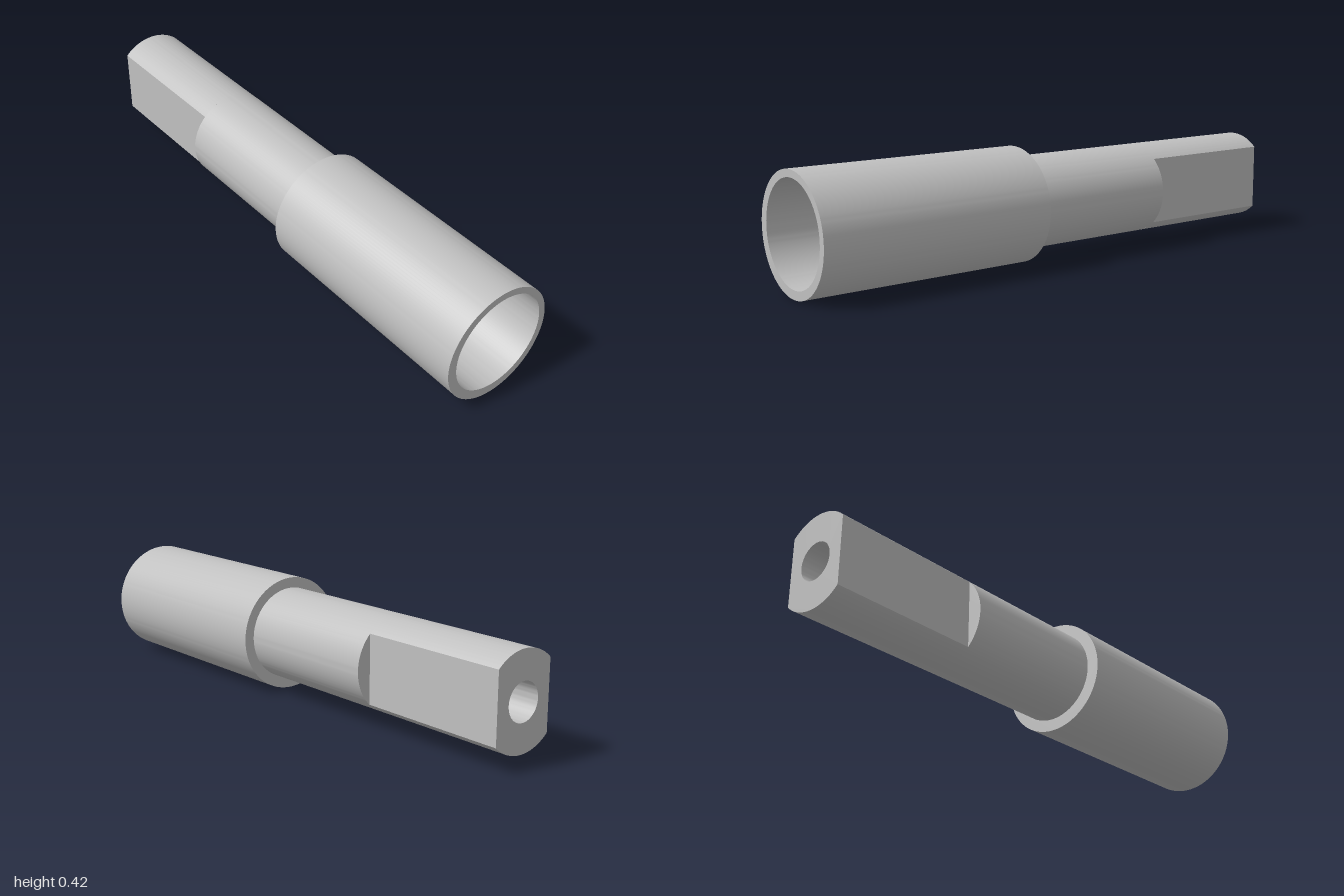
import * as THREE from 'three';
import { toCreasedNormals } from 'three/addons/utils/BufferGeometryUtils.js';

const SHAFT_R = 0.167, BORE_R = 0.179, SLEEVE_R = 0.208;
const TANG_HALF = 0.115, KEY_HALF = 0.124, HOLE_R = 0.066, PIN_R = 0.068;

// Disc outline
function disc(r) {
  return new THREE.Shape().absarc(0, 0, r, 0, Math.PI * 2, false);
}

// Disc with two parallel flats at x = +-half
function flattedDisc(r, half) {
  const a = Math.acos(half / r);
  const s = new THREE.Shape();
  s.absarc(0, 0, r, a, Math.PI - a, false);
  s.absarc(0, 0, r, Math.PI + a, Math.PI * 2 - a, false);
  s.closePath();
  return s;
}

// Segment of a disc beyond x = side * half
function discSegment(r, half, side) {
  const a = Math.acos(half / r);
  const mid = side > 0 ? 0 : Math.PI;
  const s = new THREE.Shape();
  s.absarc(0, 0, r, mid - a, mid + a, false);
  s.closePath();
  return s;
}

export function createModel() {
  const grey = new THREE.MeshStandardMaterial({ color: 0xc0c0c0 });
  grey.name = 'light grey';
  const group = new THREE.Group();
  group.name = 'couplingRod';

  function add(name, geometry, x, y, z) {
    const mesh = new THREE.Mesh(toCreasedNormals(geometry, 0.5), grey);
    mesh.name = name;
    mesh.position.set(x, y, z);
    group.add(mesh);
  }

  // Extrude an outline along z between two depths
  function prism(name, shape, z0, z1, x = 0.004, y = 0.212, segments = 64) {
    const geometry = new THREE.ExtrudeGeometry(shape, {
      depth: z1 - z0, bevelEnabled: false, curveSegments: segments,
    });
    add(name, geometry, x, y, z0);
  }

  // Socket sleeve, with a bore set slightly off centre
  const sleeve = disc(SLEEVE_R);
  sleeve.holes.push(new THREE.Path().absarc(0.004, 0.003, BORE_R, 0, Math.PI * 2, true));
  prism('sleeve', sleeve, 0.13, 1, 0, 0.209);

  // Socket floor and the two keys that narrow the bore
  prism('socketFloor', disc(BORE_R), 0.13, 0.22);
  for (const side of [1, -1]) {
    prism(side > 0 ? 'leftKey' : 'rightKey', discSegment(BORE_R, KEY_HALF, side), 0.22, 0.78, 0.004, 0.212, 32);
  }

  // Centre pin with an eased tip
  const pinLength = 0.54, ease = 0.006;
  const pin = new THREE.LatheGeometry([
    new THREE.Vector2(PIN_R, 0),
    new THREE.Vector2(PIN_R, pinLength - ease),
    new THREE.Vector2(PIN_R - ease, pinLength),
    new THREE.Vector2(0, pinLength),
  ], 48).rotateX(Math.PI / 2);
  add('centrePin', pin, 0.005, 0.212, 0.22);

  // Round shaft, then the flatted tang with its blind hole
  prism('shaft', disc(SHAFT_R), -0.44, 0.13);
  const tang = flattedDisc(SHAFT_R, TANG_HALF);
  tang.holes.push(new THREE.Path().absarc(0, 0, HOLE_R, 0, Math.PI * 2, true));
  prism('tang', tang, -1, -0.44, 0.004, 0.212, 32);

  return group;
}
